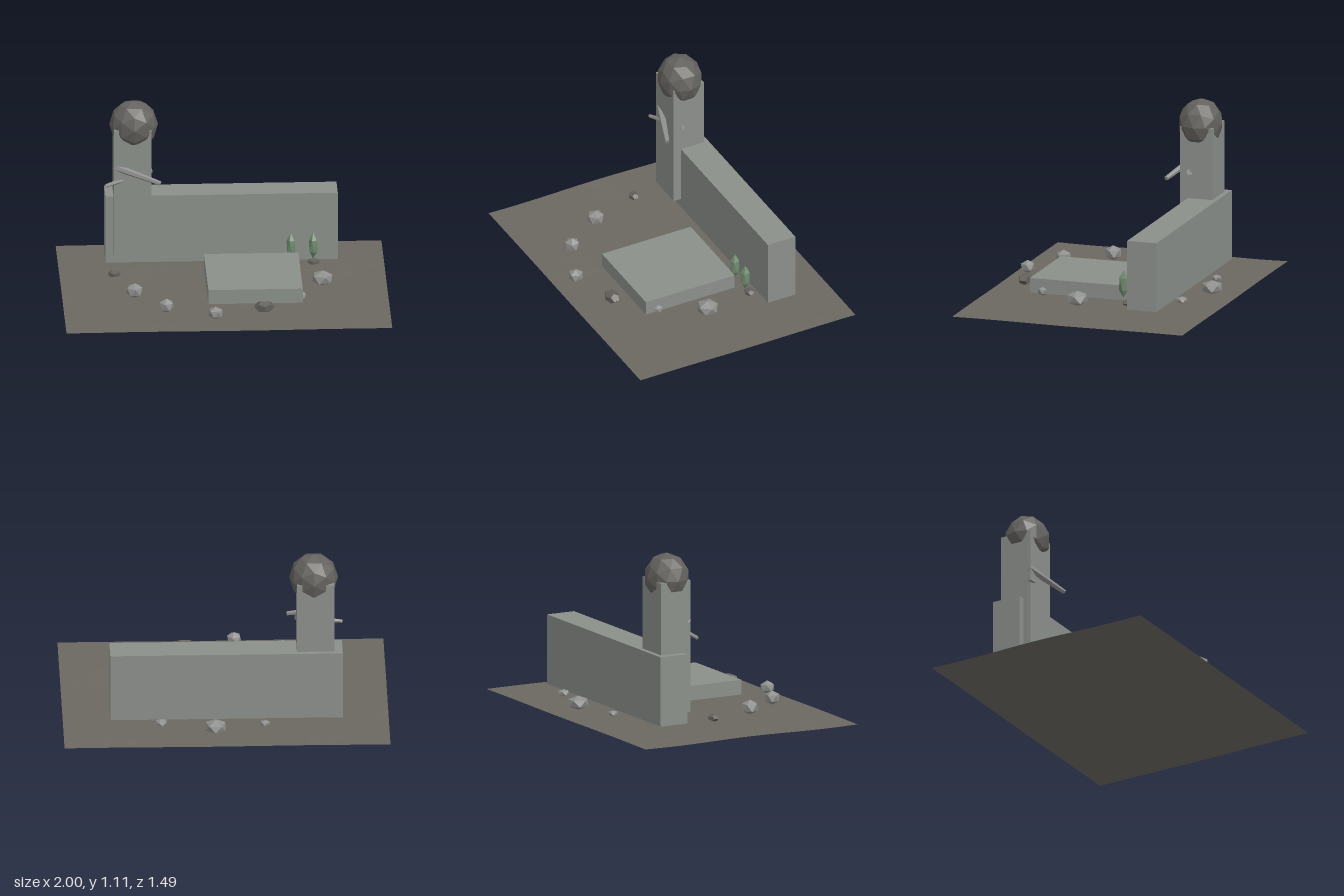
import * as THREE from 'three';

const paint = (name, color, side = THREE.FrontSide) => {
  const m = new THREE.MeshStandardMaterial({ color, side, flatShading: true });
  m.name = name;
  return m;
};

export function createModel() {
  const model = new THREE.Group();
  model.name = 'gardenRuin';
  const stone = paint('stone grey', 0x8b8f8a);
  const pebble = paint('pebble grey', 0x8f8f8e);
  const darkRock = paint('dark rock', 0x625f5b);
  const earth = paint('earth', 0x6b6861, THREE.DoubleSide);
  const crown = paint('crown brown', 0x63615d);
  const leaf = paint('leaf green', 0x6f8a6d);

  const add = (name, geo, mat, x = 0, y = 0, z = 0) => {
    const mesh = new THREE.Mesh(geo, mat);
    mesh.name = name;
    mesh.position.set(x, y, z);
    model.add(mesh);
    return mesh;
  };
  // Box given by its limits on each axis
  const block = (name, x0, x1, y0, y1, z0, z1) =>
    add(name, new THREE.BoxGeometry(x1 - x0, y1 - y0, z1 - z0), stone,
      (x0 + x1) / 2, (y0 + y1) / 2, (z0 + z1) / 2);
  // Icosahedron standing on one corner
  const gem = () => new THREE.IcosahedronGeometry(1, 0).rotateZ(Math.atan(2 / (1 + Math.sqrt(5))));

  // Gently uneven ground
  const ground = new THREE.PlaneGeometry(2, 1.49, 16, 12).rotateX(-Math.PI / 2);
  const p = ground.attributes.position;
  for (let i = 0; i < p.count; i++) {
    p.setY(i, 0.01 + 0.005 * Math.sin(p.getX(i) * 5 + 1) * Math.cos(p.getZ(i) * 6));
  }
  add('ground', ground, earth);

  // Long wall, low platform and tower
  block('wall', -0.715, 0.712, 0.07, 0.505, -0.48, -0.29);
  block('platform', -0.115, 0.465, 0.063, 0.155, -0.19, 0.425);
  block('tower', -0.665, -0.434, 0.13, 0.955, -0.45, -0.24);

  // Faceted crown sitting over the tower top
  add('towerCrown', new THREE.IcosahedronGeometry(1, 1), crown, -0.54, 0.96, -0.338)
    .scale.set(0.15, 0.155, 0.137);

  // Tapered branches through the tower
  const branch = (name, from, to, r0, r1) => {
    const a = new THREE.Vector3(...from), b = new THREE.Vector3(...to);
    const d = b.clone().sub(a);
    const mesh = add(name, new THREE.CylinderGeometry(r1, r0, d.length(), 6), pebble);
    mesh.position.copy(a).lerp(b, 0.5);
    mesh.quaternion.setFromUnitVectors(new THREE.Vector3(0, 1, 0), d.normalize());
  };
  branch('leftBranch', [-0.66, 0.71, -0.262], [-0.382, 0.632, -0.168], 0.024, 0.014);
  branch('rightBranch', [-0.431, 0.672, -0.302], [-0.717, 0.6, -0.222], 0.02, 0.011);

  // Slim shrubs
  for (const x of [0.42, 0.557]) {
    add('shrub', gem(), leaf, x, 0.19, -0.215).scale.set(0.03, 0.086, 0.034);
  }

  // Ring of light stones: x, y, z, radius, half height, turn
  [
    [0.07, 0.088, -0.62, 0.07, 0.044, 0.3], [-0.235, 0.07, -0.545, 0.032, 0.019, 0.2],
    [0.4, 0.078, -0.537, 0.04, 0.023, 0.5], [-0.56, 0.088, 0.235, 0.056, 0.047, 0.4],
    [-0.375, 0.086, 0.495, 0.05, 0.045, 0.1], [-0.08, 0.083, 0.625, 0.049, 0.041, 0.7],
    [0.457, 0.078, 0.343, 0.036, 0.03, 0.2], [0.6, 0.087, 0.07, 0.071, 0.048, 0.6],
  ].forEach(([x, y, z, r, h, turn]) => {
    const s = add('stone', gem().rotateY(turn), pebble, x, y, z);
    s.scale.set(r, h, r);
  });

  // Flatter dark rocks: x, y, z, half width, half height, half depth
  [
    [0.225, 0.085, 0.535, 0.066, 0.036, 0.046], [-0.67, 0.075, -0.085, 0.042, 0.023, 0.032],
    [0.56, 0.075, -0.24, 0.04, 0.019, 0.032], [-0.49, 0.075, -0.365, 0.036, 0.02, 0.03],
  ].forEach(([x, y, z, a, b, c]) => {
    add('darkRock', new THREE.DodecahedronGeometry(1, 0), darkRock, x, y, z).scale.set(a, b, c);
  });

  return model;
}
